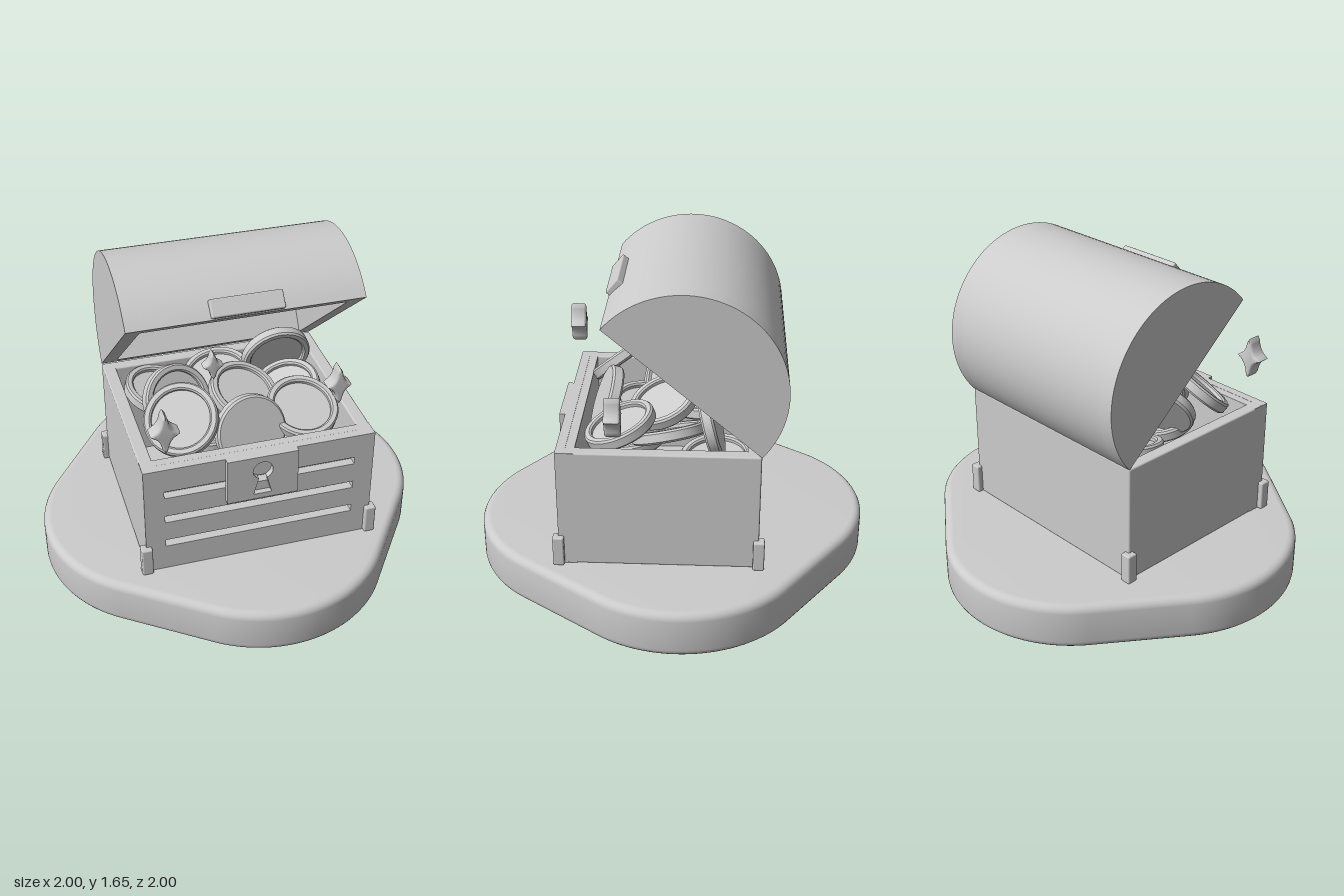
import * as THREE from 'three';
import { toCreasedNormals } from 'three/addons/utils/BufferGeometryUtils.js';
import { RoundedBoxGeometry } from 'three/addons/geometries/RoundedBoxGeometry.js';

const material = new THREE.MeshStandardMaterial({ color: 0xcccccc });
const W = 1.158, D = 0.97, BOTTOM = 0.24, TOP = 0.85; // chest size
const R = D / 2;                                       // lid radius
const TURN = -0.236;                                   // chest is turned on its base

function add(parent, name, geometry, x = 0, y = 0, z = 0) {
  const mesh = new THREE.Mesh(geometry, material);
  mesh.name = name;
  mesh.position.set(x, y, z);
  parent.add(mesh);
  return mesh;
}

const box = (w, h, d, r = 0.008) => new RoundedBoxGeometry(w, h, d, 2, r);

function extrude(shape, depth, bevel = 0, segments = 3) {
  const geometry = new THREE.ExtrudeGeometry(shape, {
    depth: depth - 2 * bevel, curveSegments: 24,
    bevelEnabled: bevel > 0, bevelSize: bevel, bevelThickness: bevel, bevelSegments: segments,
  });
  geometry.translate(0, 0, bevel - depth / 2);
  return toCreasedNormals(geometry, 0.6);
}

function roundedSquare(h, r) {
  const s = new THREE.Shape(), c = h - r;
  s.absarc(c, c, r, 0, Math.PI / 2);
  s.absarc(-c, c, r, Math.PI / 2, Math.PI);
  s.absarc(-c, -c, r, Math.PI, Math.PI * 1.5);
  s.absarc(c, -c, r, Math.PI * 1.5, Math.PI * 2);
  return s;
}

function rect(Kind, x0, y0, x1, y1) {
  const s = new Kind();
  s.moveTo(x0, y0);
  s.lineTo(x1, y0);
  s.lineTo(x1, y1);
  s.lineTo(x0, y1);
  s.closePath();
  return s;
}

function makeBody() {
  const body = new THREE.Group();
  body.name = 'chestBody';
  const h = TOP - BOTTOM, mid = (TOP + BOTTOM) / 2, side = 0.065, front = 0.09, skin = 0.045;

  // Front panel with three long grooves, backed by an inner wall
  const panel = rect(THREE.Shape, -W / 2, BOTTOM, W / 2, TOP);
  for (const y of [0.4, 0.55, 0.7]) panel.holes.push(rect(THREE.Path, -0.48, y - 0.02, 0.48, y + 0.02));
  add(body, 'frontPanel', extrude(panel, skin), 0, 0, D / 2 - skin / 2);
  add(body, 'frontInnerWall', box(W, h, front - skin, 0.002), 0, mid, D / 2 - skin - (front - skin) / 2);

  add(body, 'backWall', box(W, h, side), 0, mid, -D / 2 + side / 2);
  for (const s of [-1, 1]) {
    add(body, 'sideWall', box(side, h, D - 0.02), s * (W / 2 - side / 2), mid, 0);
    for (const t of [-1, 1]) add(body, 'cornerFoot', box(0.055, 0.155, 0.055), s * W / 2, BOTTOM + 0.077, t * D / 2);
  }
  add(body, 'chestFloor', box(W - 0.06, 0.06, D - 0.06), 0, BOTTOM + 0.03, 0);

  // Lock plate with a keyhole cut through it
  const plate = rect(THREE.Shape, -0.178, 0.6, 0.178, TOP);
  const key = new THREE.Path();
  key.moveTo(-0.045, 0.63);
  key.lineTo(0.045, 0.63);
  key.lineTo(0.02, 0.725);
  key.absarc(0, 0.768, 0.05, -1.16, Math.PI + 1.16);
  key.closePath();
  plate.holes.push(key);
  add(body, 'lockPlate', extrude(plate, 0.03), 0, 0, D / 2 + 0.014);
  return body;
}

function makeLid() {
  const lid = new THREE.Group();
  lid.name = 'lid';
  const end = 0.075;

  // Domed middle with a box-like hollow, closed by two solid half-round ends
  const hollow = new THREE.Shape();
  hollow.absarc(0, 0, R, 0, Math.PI);
  for (const [x, y] of [[-0.42, 0], [-0.385, 0.27], [0.385, 0.27], [0.42, 0]]) hollow.lineTo(x, y);
  hollow.closePath();
  const solid = new THREE.Shape();
  solid.absarc(0, 0, R, 0, Math.PI);
  solid.closePath();
  add(lid, 'lidDome', extrude(hollow, W - 2 * end).rotateY(Math.PI / 2), 0, 0, R);
  for (const s of [-1, 1]) {
    add(lid, 'lidEnd', extrude(solid, end).rotateY(Math.PI / 2), s * (W - end) / 2, 0, R);
  }
  add(lid, 'lidClasp', box(0.355, 0.09, 0.05), 0, 0.05, D);

  // Hinged open along the back edge
  lid.position.set(0, TOP, -D / 2);
  lid.rotation.x = -0.705;
  return lid;
}

function makeCoins() {
  const coins = new THREE.Group();
  coins.name = 'coins';
  // Disc with a raised rim on one face
  const profile = [[0, -0.03], [0.172, -0.03], [0.182, -0.02], [0.182, 0.02], [0.174, 0.03],
    [0.152, 0.03], [0.144, 0.022], [0.144, 0.006], [0, 0.006]].map(([x, y]) => new THREE.Vector2(x, y));
  const geometry = toCreasedNormals(new THREE.LatheGeometry(profile, 40), 0.6);
  const up = new THREE.Vector3(0, 1, 0);
  // centre, then the direction the rimmed face looks
  const places = [
    [[-0.37, 0.94, 0.2], [-0.43, 0.75, 0.5]],
    [[-0.06, 0.845, 0.33], [0.08, -0.35, -0.93]],
    [[0.25, 0.86, 0.31], [-0.05, 0.92, 0.38]],
    [[0.36, 0.9, -0.12], [-0.22, -0.25, 0.94]],
    [[-0.28, 0.89, -0.02], [0.1, 0.5, 0.86]],
    [[0.06, 0.87, 0.06], [0.15, 0.9, 0.4]],
    [[0.3, 0.82, 0.08], [-0.4, 0.9, 0.1]],
    [[0.05, 0.83, -0.2], [-0.2, 0.95, 0.1]],
    [[-0.25, 0.78, -0.28], [0.2, 0.95, 0.2]],
    [[-0.2, 0.74, 0.1], [0.1, 1, -0.1]],
    [[0.1, 0.7, 0.25], [-0.1, 1, 0.1]],
    [[0.35, 0.68, -0.15], [0.1, 1, 0.1]],
  ];
  for (const [p, n] of places) {
    const coin = add(coins, 'coin', geometry, ...p);
    coin.quaternion.setFromUnitVectors(up, new THREE.Vector3(...n).normalize());
  }
  return coins;
}

// Four-pointed star with hollow curved sides
function sparkle(w, h, depth) {
  const s = new THREE.Shape(), k = 0.2, b = 0.012;
  w -= b;
  h -= b;
  s.moveTo(w, 0);
  s.quadraticCurveTo(w * k, h * k, 0, h);
  s.quadraticCurveTo(-w * k, h * k, -w, 0);
  s.quadraticCurveTo(-w * k, -h * k, 0, -h);
  s.quadraticCurveTo(w * k, -h * k, w, 0);
  return extrude(s, depth, b);
}

export function createModel() {
  const model = new THREE.Group();
  model.name = 'treasureChest';

  // Thick rounded base
  const slab = extrude(roundedSquare(0.86, 0.615), 0.24, 0.04, 5).rotateX(-Math.PI / 2);
  add(model, 'base', slab, 0, 0.12, 0).rotation.y = 0.7156;

  const chest = new THREE.Group();
  chest.name = 'chest';
  chest.position.set(0.005, 0, 0.045);
  chest.rotation.y = TURN;
  chest.add(makeBody(), makeLid());
  model.add(chest, makeCoins());

  // Floating sparkles
  for (const [x, y, z, w, h, d] of [
    [-0.565, 1.075, 0.405, 0.065, 0.1, 0.08],
    [-0.145, 1.13, 0.105, 0.046, 0.07, 0.06],
    [0.415, 0.99, 0.37, 0.058, 0.098, 0.08],
  ]) add(model, 'sparkle', sparkle(w, h, d), x, y, z).rotation.y = TURN;

  return model;
}
